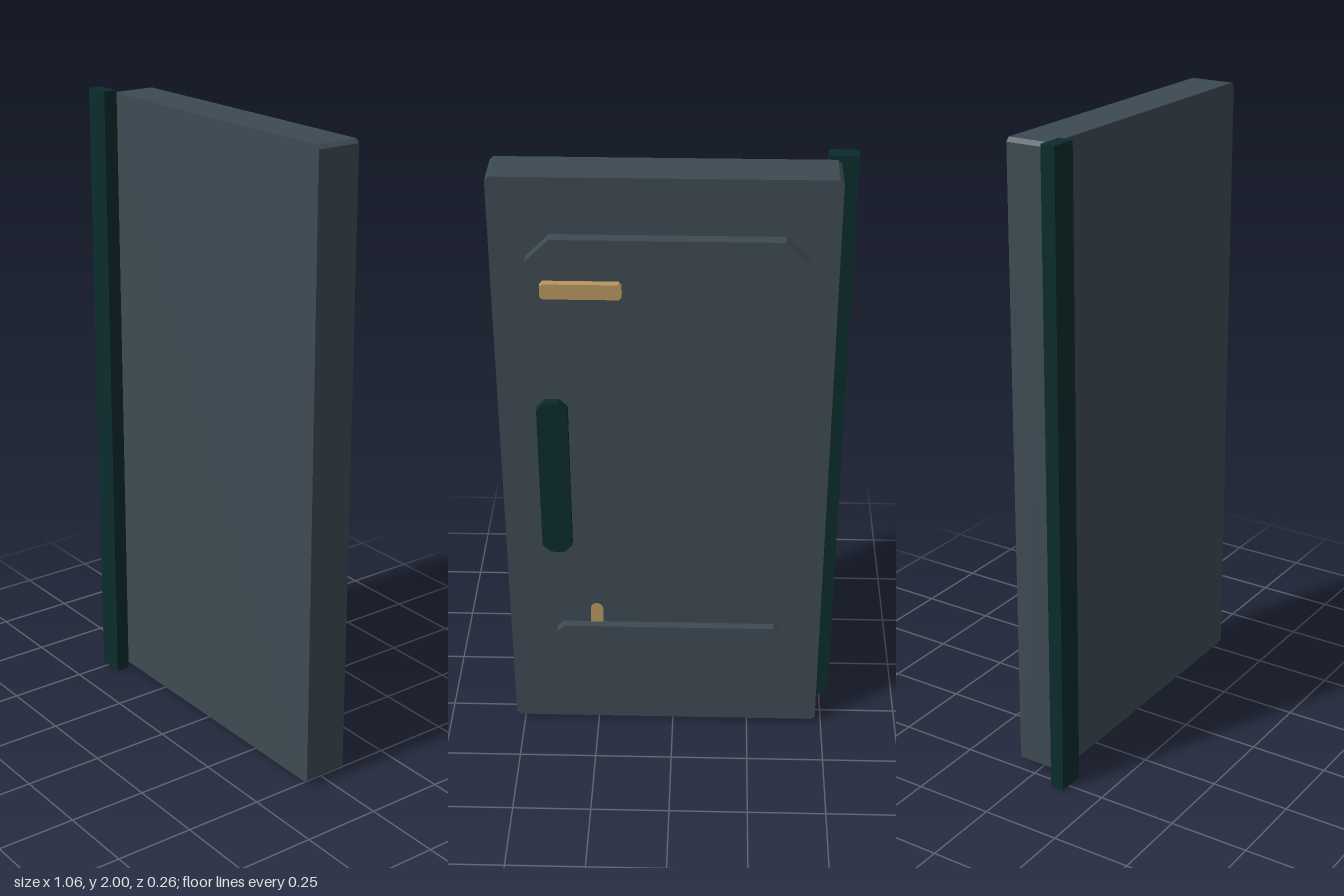
import * as THREE from 'three';

const slate = new THREE.MeshStandardMaterial({ color: 0x3d4a53 });
slate.name = 'slate';
const darkTeal = new THREE.MeshStandardMaterial({ color: 0x0b2b2b });
darkTeal.name = 'darkTeal';
const brass = new THREE.MeshStandardMaterial({ color: 0xb8955f });
brass.name = 'brass';

// Slab with cut corners, given by its extents; the cut runs along z
function plate(name, material, [x0, x1], [y0, y1], [z0, z1], cut) {
  const shape = new THREE.Shape([
    [x0 + cut, y0], [x1 - cut, y0], [x1, y0 + cut], [x1, y1 - cut],
    [x1 - cut, y1], [x0 + cut, y1], [x0, y1 - cut], [x0, y0 + cut],
  ].map(([x, y]) => new THREE.Vector2(x, y)));
  const geometry = new THREE.ExtrudeGeometry(shape, { depth: z1 - z0, bevelEnabled: false });
  const mesh = new THREE.Mesh(geometry, material);
  mesh.name = name;
  mesh.position.z = z0;
  return mesh;
}

export function createModel() {
  const door = new THREE.Group();
  door.name = 'door';

  // Main leaf and the raised panel on its back
  door.add(plate('doorLeaf', slate, [-0.48, 0.528], [0.015, 1.99], [-0.065, 0.077], 0.012));
  door.add(plate('raisedPanel', slate, [-0.394, 0.422], [0.195, 1.815], [-0.103, -0.065], 0.07));

  // Fittings on the panel
  door.add(plate('kickPlate', slate, [-0.35, 0.373], [0.305, 0.45], [-0.13, -0.103], 0.023));
  door.add(plate('handle', darkTeal, [0.313, 0.406], [0.745, 1.29], [-0.13, -0.103], 0.025));
  door.add(plate('namePlate', brass, [0.145, 0.381], [1.638, 1.686], [-0.127, -0.103], 0.008));

  // Small round-topped marker above the kick plate
  const tab = new THREE.Shape();
  tab.moveTo(-0.02, 0.44);
  tab.lineTo(0.02, 0.44);
  tab.lineTo(0.02, 0.503);
  tab.absarc(0, 0.503, 0.02, 0, Math.PI, false);
  const marker = new THREE.Mesh(
    new THREE.ExtrudeGeometry(tab, { depth: 0.004, bevelEnabled: false, curveSegments: 6 }), brass);
  marker.name = 'marker';
  marker.position.set(0.243, 0, -0.106);
  door.add(marker);

  // Edge strip standing just in front of the leaf
  const strip = new THREE.Mesh(new THREE.BoxGeometry(0.087, 2, 0.045), darkTeal);
  strip.name = 'edgeStrip';
  strip.position.set(-0.4865, 1, 0.1065);
  door.add(strip);

  return door;
}
